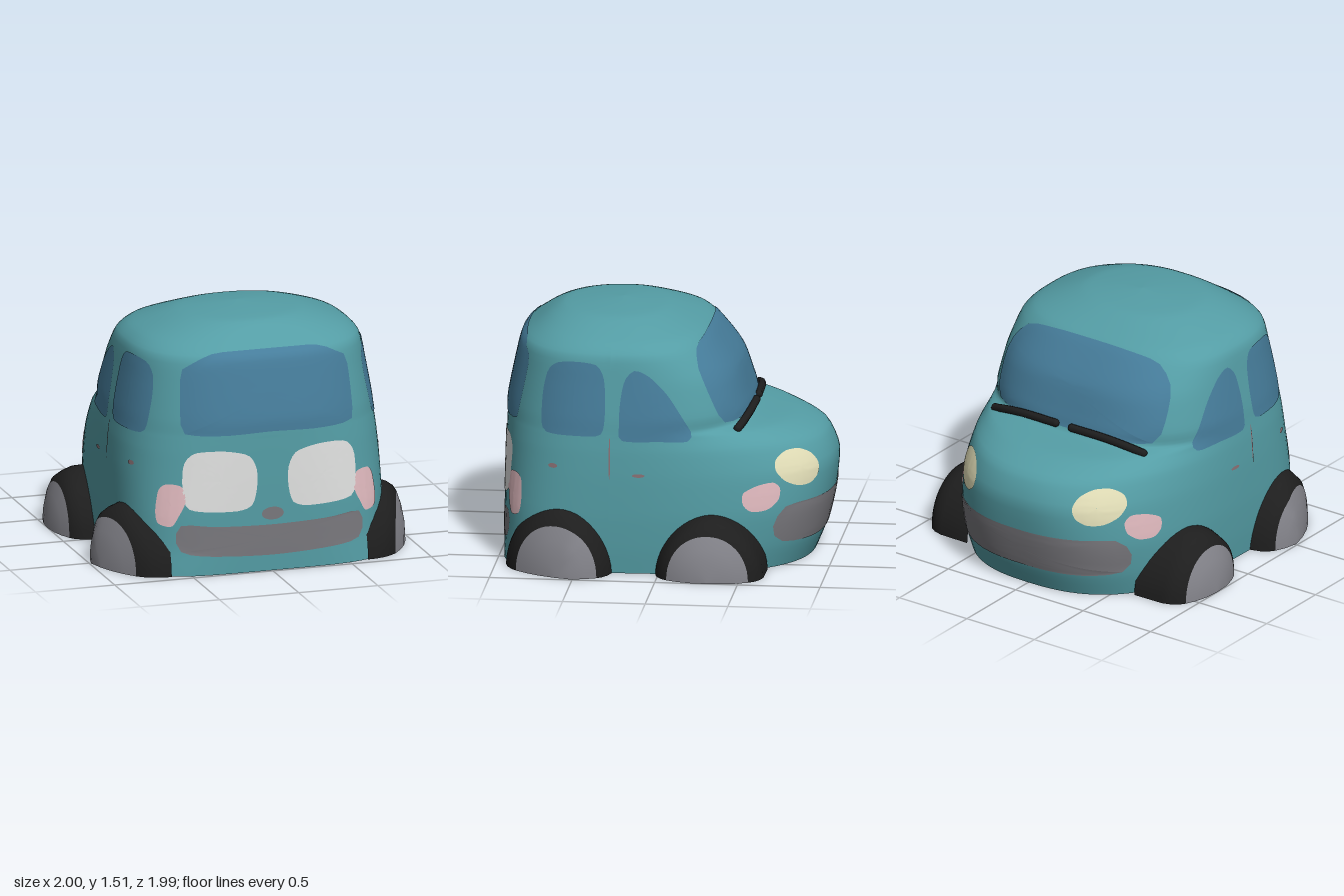
import * as THREE from 'three';

const mat = (name, color) => {
  const m = new THREE.MeshStandardMaterial({ color, side: THREE.DoubleSide });
  m.name = name;
  return m;
};

// Horizontal sections of the shell: y, nose z, tail z, half width, nose squareness, tail squareness
const SECTIONS = [
  [0, -0.87, 0.985, 0.81, 2.55, 4.4], [0.15, -0.93, 0.988, 0.82, 2.58, 3.7],
  [0.35, -0.975, 0.99, 0.825, 2.58, 3.4], [0.58, -0.998, 0.99, 0.82, 2.38, 3],
  [0.74, -0.93, 0.988, 0.81, 2.22, 2.8], [0.825, -0.75, 0.986, 0.80, 2.25, 2.7],
  [0.865, -0.52, 0.985, 0.795, 2.7, 2.65], [0.95, -0.48, 0.98, 0.785, 2.95, 2.6],
  [1.15, -0.41, 0.94, 0.75, 2.9, 2.6], [1.31, -0.29, 0.90, 0.718, 2.7, 2.6],
  [1.38, -0.22, 0.82, 0.645, 2.6, 2.5], [1.44, -0.08, 0.735, 0.50, 2.4, 2.4],
  [1.48, 0.03, 0.65, 0.37, 2.2, 2.2], [1.499, 0.17, 0.48, 0.19, 2, 2],
  [1.51, 0.299, 0.301, 0.001, 2, 2],
];
const MID_Z = 0.3;

// Wheels: centre z, depth radius, height, shear toward the tail, hub share of the radius
const WHEELS = [
  { name: 'rear', z: 0.61, rz: 0.33, ry: 0.4, tilt: 0.34, hub: 0.76 },
  { name: 'front', z: -0.31, rz: 0.33, ry: 0.37, tilt: 0, hub: 0.75 },
];

// Surface through a grid of points; skip(centre) leaves a hole
function gridGeometry(rows, cols, point, skip = () => false) {
  const pos = [], index = [], pts = [];
  for (let i = 0; i <= rows; i++) {
    for (let j = 0; j <= cols; j++) {
      const p = point(i / rows, j / cols, i, j);
      pts.push(p);
      pos.push(p.x, p.y, p.z);
    }
  }
  for (let i = 0; i < rows; i++) {
    for (let j = 0; j < cols; j++) {
      const a = i * (cols + 1) + j, b = a + cols + 1;
      const mid = pts[a].clone().add(pts[b + 1]).multiplyScalar(0.5);
      if (!skip(mid)) index.push(a, b, a + 1, b, b + 1, a + 1);
    }
  }
  const g = new THREE.BufferGeometry();
  g.setAttribute('position', new THREE.Float32BufferAttribute(pos, 3));
  g.setIndex(index);
  g.computeVertexNormals();
  return g;
}

function bodyGeometry() {
  const low = new THREE.CatmullRomCurve3(SECTIONS.map(s => new THREE.Vector3(s[0], s[1], s[2])), false, 'catmullrom', 0.35);
  const high = new THREE.CatmullRomCurve3(SECTIONS.map(s => new THREE.Vector3(s[3], s[4], s[5])), false, 'catmullrom', 0.35);
  const inArch = p => Math.abs(p.x) > 0.55 &&
    WHEELS.some(w => Math.hypot((p.z - w.z) / w.rz, p.y / w.ry) < 0.86);
  return gridGeometry(56, 96, (t, u) => {
    const a = low.getPoint(t), b = high.getPoint(t);
    const ang = u * Math.PI * 2, c = Math.cos(ang), s = Math.sin(ang);
    const n = s < 0 ? b.y : b.z;
    const r = Math.pow(Math.pow(Math.abs(c), n) + Math.pow(Math.abs(s), n), -1 / n);
    return new THREE.Vector3(b.x * c * r, a.x, MID_Z + s * r * (s < 0 ? MID_Z - a.y : a.z - MID_Z));
  }, inArch);
}

export function createModel() {
  const car = new THREE.Group();
  car.name = 'car';
  const paint = mat('teal paint', 0x549da5), glass = mat('blue glass', 0x467d9b);
  const black = mat('black rubber', 0x1e1e1e), hubGrey = mat('hub grey', 0x86868d);
  const trim = mat('bumper grey', 0x79787d), white = mat('white panel', 0xe0e1e0);
  const pink = mat('pink lamp', 0xe2bbc0), cream = mat('cream lamp', 0xe4e0b9);
  const seam = mat('seam brown', 0x8a7074);

  const add = (name, geometry, material) => {
    const m = new THREE.Mesh(geometry, material);
    m.name = name;
    car.add(m);
    return m;
  };

  const body = add('body', bodyGeometry(), paint);
  body.updateMatrixWorld();
  const ray = new THREE.Raycaster();

  // Finds the shell from outside; axis 'x' takes (z, y), axis 'z' takes (x, y)
  const cast = (axis, sign, h, y) => {
    const dir = axis === 'x' ? new THREE.Vector3(sign, 0, 0) : new THREE.Vector3(0, 0, sign);
    const from = axis === 'x' ? new THREE.Vector3(sign * 3, y, h) : new THREE.Vector3(h, y, sign * 3);
    ray.set(from, dir.clone().negate());
    const hit = ray.intersectObject(body)[0];
    if (!hit) return null;
    const n = hit.face.normal.clone();
    if (n.dot(dir) < 0) n.negate();
    return { p: hit.point.clone(), n };
  };

  // Thin painted panel following the shell, seen from outside and inside
  const panel = (name, material, axis, sign, outline, rings = 9) => {
    const curve = new THREE.CatmullRomCurve3(outline.map(p => new THREE.Vector3(p[0], p[1], 0)), true, 'catmullrom', 0.4);
    const edge = curve.getSpacedPoints(44);
    const mid = new THREE.Box3().setFromPoints(edge).getCenter(new THREE.Vector3());
    const hits = [];
    for (let i = 0; i <= rings; i++) {
      hits.push(edge.map((e, j) => {
        const q = mid.clone().lerp(e, Math.max(i / rings, 0.001));
        return cast(axis, sign, q.x, q.y) || hits[i - 1][j];
      }));
    }
    for (const off of [0.005, -0.005]) {
      add(name + (off > 0 ? '' : 'Inside'), gridGeometry(rings, 44,
        (t, u, i, j) => hits[i][j].p.clone().addScaledVector(hits[i][j].n, off)), material);
    }
  };
  const flip = pts => pts.map(([x, y]) => [-x, y]);
  const oval = (x, y, rx, ry) => Array.from({ length: 10 }, (_, i) =>
    [x + rx * Math.cos(i * Math.PI / 5), y + ry * Math.sin(i * Math.PI / 5)]);

  // Windscreen and rear window
  panel('windscreen', glass, 'z', -1, [[-0.56, 0.89], [-0.3, 0.89], [0, 0.89], [0.3, 0.89], [0.56, 0.89],
    [0.605, 1.0], [0.59, 1.2], [0.47, 1.33], [0.2, 1.37], [-0.2, 1.37], [-0.47, 1.33], [-0.59, 1.2], [-0.605, 1.0]], 14);
  panel('rearWindow', glass, 'z', 1, [[-0.52, 0.87], [-0.3, 0.86], [0, 0.87], [0.3, 0.86], [0.52, 0.87], [0.54, 0.95],
    [0.52, 1.23], [0.45, 1.29], [0.28, 1.345], [-0.28, 1.345], [-0.45, 1.29], [-0.52, 1.23], [-0.54, 0.95]], 12);

  // Bumpers and tail button
  panel('rearBumper', trim, 'z', 1, [[-0.56, 0.15], [-0.42, 0.12], [0, 0.1], [0.42, 0.12], [0.56, 0.15], [0.59, 0.24],
    [0.55, 0.315], [0.35, 0.3], [0, 0.29], [-0.35, 0.3], [-0.55, 0.315], [-0.59, 0.24]], 8);
  panel('frontBumper', trim, 'z', -1, [[-0.58, 0.17], [-0.4, 0.15], [0, 0.15], [0.4, 0.15], [0.58, 0.17], [0.625, 0.27],
    [0.58, 0.385], [0.4, 0.4], [0, 0.4], [-0.4, 0.4], [-0.58, 0.385], [-0.625, 0.27]], 12);
  panel('tailButton', trim, 'z', 1, oval(0, 0.36, 0.07, 0.04), 3);

  for (const side of [1, -1]) {
    const s = side > 0 ? 'left' : 'right';
    const ends = pts => (side > 0 ? pts : flip(pts));

    // Side windows
    panel(s + 'RearSideWindow', glass, 'x', side, [[0.35, 0.855], [0.5, 0.84], [0.68, 0.845], [0.715, 0.9], [0.71, 1.08],
      [0.68, 1.21], [0.62, 1.265], [0.5, 1.28], [0.38, 1.265], [0.335, 1.18], [0.325, 1.0]]);
    panel(s + 'FrontSideWindow', glass, 'x', side, [[0.22, 0.82], [0, 0.815], [-0.16, 0.81], [-0.19, 0.855], [-0.12, 0.98],
      [-0.04, 1.1], [0.06, 1.2], [0.15, 1.24], [0.21, 1.18], [0.235, 1.05], [0.24, 0.9]]);

    // Tail panels and lamps
    panel(s + 'TailPanel', white, 'z', 1, ends([[0.13, 0.42], [0.22, 0.39], [0.42, 0.395], [0.52, 0.42], [0.545, 0.52],
      [0.535, 0.68], [0.47, 0.755], [0.3, 0.765], [0.15, 0.73], [0.1, 0.64], [0.1, 0.52]]));
    panel(s + 'TailLamp', pink, 'z', 1, ends([[0.55, 0.55], [0.63, 0.56], [0.67, 0.52], [0.69, 0.4], [0.68, 0.32],
      [0.61, 0.305], [0.57, 0.37], [0.53, 0.46]]), 5);

    // Nose lamps
    panel(s + 'Headlamp', cream, 'z', -1, oval(side * 0.475, 0.605, 0.12, 0.11), 6);
    panel(s + 'Indicator', pink, 'x', side, [[-0.5, 0.42], [-0.55, 0.375], [-0.64, 0.38], [-0.7, 0.43], [-0.71, 0.5],
      [-0.67, 0.54], [-0.58, 0.53], [-0.5, 0.49]], 6);

    // Door seam and handles
    panel(s + 'DoorSeam', seam, 'x', side, oval(0.295, 0.71, 0.005, 0.13), 3);
    panel(s + 'RearHandle', seam, 'x', side, oval(0.64, 0.65, 0.028, 0.014), 2);
    panel(s + 'FrontHandle', seam, 'x', side, oval(0.12, 0.61, 0.038, 0.011), 2);

    // Wiper
    const wiper = new THREE.CatmullRomCurve3([[0.06, 0.905, -0.508], [0.3, 0.9, -0.5], [0.46, 0.875, -0.475], [0.55, 0.85, -0.45]]
      .map(([x, y, z]) => new THREE.Vector3(side * x, y, z)));
    add(s + 'Wiper', new THREE.TubeGeometry(wiper, 14, 0.025, 8), black);
    for (const t of [0, 1]) {
      add(s + 'WiperTip', new THREE.SphereGeometry(0.025, 8, 6), black).position.copy(wiper.getPoint(t));
    }

    // Half wheels: a rubber arch, flared at its foot, rising from the shell to a domed hub
    for (const w of WHEELS) {
      const ring = (scale, x, u) => {
        const c = Math.cos(u * Math.PI), v = Math.sin(u * Math.PI);
        const n = scale > 0.9 ? 1.85 : 2.1;
        const r = scale * Math.pow(Math.pow(Math.abs(c), n) + Math.pow(v, n), -1 / n);
        const p = new THREE.Vector3(0, w.ry * r * v, w.z + w.rz * r * c);
        if (x === null) {
          const hit = cast('x', side, p.z, p.y + 0.01);
          p.x = side * Math.max(0.62, (hit ? Math.abs(hit.p.x) : 0.64) - 0.015);
        } else p.x = side * (x - w.tilt * Math.max(0, p.z - 0.5));
        return p;
      };
      const tyre = [[1, null], [0.99, 0.82], [0.94, 0.875], [0.85, 0.918], [w.hub, 0.942]];
      const hub = [[w.hub, 0.942], [0.55, 0.972], [0.3, 0.993], [0.001, 1]];
      for (const [part, rows, material] of [['Tyre', tyre, black], ['Hub', hub, hubGrey]]) {
        add(s + w.name + part, gridGeometry(rows.length - 1, 24, (t, u, i) => ring(...rows[i], Math.min(u, 0.99999))), material);
      }
    }
  }
  return car;
}
